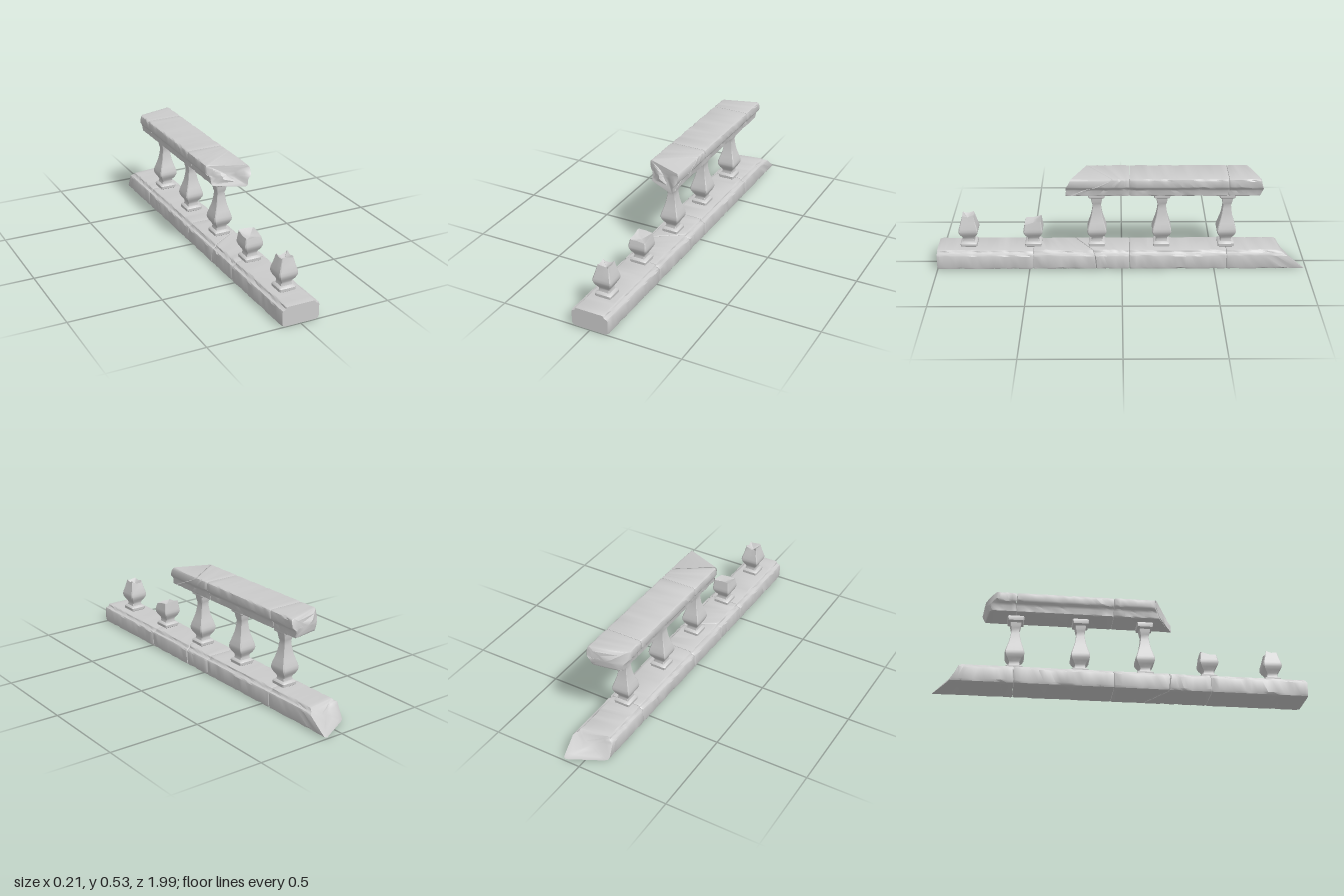
import * as THREE from 'three';
import { toCreasedNormals } from 'three/addons/utils/BufferGeometryUtils.js';

const stone = new THREE.MeshStandardMaterial({ color: 0xcccccc, side: THREE.DoubleSide });

// Repeatable noise in -1..1
const noise = (a, b = 0, c = 0) => {
  const v = Math.sin(a * 127.1 + b * 311.7 + c * 74.7) * 43758.5453;
  return 2 * (v - Math.floor(v)) - 1;
};

// Skin a list of equal closed rings, each counter-clockwise about the travel axis
function loft(rings, crease) {
  const n = rings[0].length, index = [];
  for (let i = 0; i < rings.length - 1; i++) {
    for (let j = 0; j < n; j++) {
      const a = i * n + j, b = i * n + (j + 1) % n;
      index.push(a, b, b + n, a, b + n, a + n);
    }
  }
  const geo = new THREE.BufferGeometry();
  geo.setAttribute('position', new THREE.Float32BufferAttribute(rings.flat(2), 3));
  geo.setIndex(index);
  return toCreasedNormals(geo, crease);
}

function add(parent, name, geo) {
  const mesh = new THREE.Mesh(geo, stone);
  mesh.name = name;
  parent.add(mesh);
  return mesh;
}

// Half profiles from the bottom up, mirrored into a closed outline
const mirror = half => [...half, ...half.slice().reverse().map(([x, y]) => [-x, y])];
const baseProfile = mirror([[0.085, 0.003], [0.1, 0.008], [0.105, 0.02], [0.105, 0.084], [0.101, 0.092],
  [0.089, 0.095], [0.084, 0.1], [0.081, 0.108], [0.074, 0.111]]);
const railProfile = mirror([[0.073, 0.428], [0.081, 0.432], [0.083, 0.44], [0.084, 0.462], [0.09, 0.474],
  [0.1, 0.482], [0.105, 0.492], [0.105, 0.522], [0.102, 0.531], [0.094, 0.535]]);

// Worn stone block along z; its ends are functions z(x, y) and may be dished
function block(parent, name, profile, back, front, { seed = 1, bevel = [0.008, 0.008], dish = [0, 0] } = {}) {
  const cy = (profile[0][1] + profile[profile.length / 2][1]) / 2;
  const ring = (s, zAt, wear) => profile.map(([px, py], j) => {
    const x = px * s, y = cy + (py - cy) * s;
    const k = wear * Math.max(0, noise(seed, wear ? zAt(0, cy) * 9 : 0, j));
    return [x * (1 - k), y + (cy - y) * k, zAt(x, y)];
  });
  const rings = [];
  for (const s of [0, 0.35, 0.7, 0.96]) rings.push(ring(s, (x, y) => back(x, y) + dish[0] * (1 - s * s), 0));
  const steps = Math.max(2, Math.round((front(0, cy) - back(0, cy)) / 0.03));
  for (let i = 0; i <= steps; i++) {
    const t = i / steps;
    rings.push(ring(1, (x, y) => {
      const a = back(x, y), b = front(x, y), m = (b - a) / 2;
      return THREE.MathUtils.lerp(a + Math.min(bevel[0], m), b - Math.min(bevel[1], m), t);
    }, 0.035));
  }
  for (const s of [0.96, 0.7, 0.35, 0]) rings.push(ring(s, (x, y) => front(x, y) - dish[1] * (1 - s * s), 0));
  return add(parent, name, loft(rings, 0.65));
}

// Square baluster profile: [height, half width]
const turned = [[0.111, 0.038], [0.115, 0.044], [0.13, 0.045], [0.136, 0.04], [0.14, 0.031], [0.153, 0.028],
  [0.163, 0.031], [0.18, 0.043], [0.195, 0.05], [0.205, 0.052], [0.22, 0.05], [0.25, 0.041], [0.28, 0.032],
  [0.305, 0.027], [0.33, 0.0235], [0.352, 0.0215], [0.362, 0.025], [0.378, 0.028], [0.392, 0.03],
  [0.4, 0.042], [0.418, 0.045], [0.426, 0.042]];

function squareRing(half, yAt) {
  const c = 0.9;
  return [[1, c], [1, 0], [1, -c], [c, -1], [0, -1], [-c, -1], [-1, -c], [-1, 0], [-1, c], [-c, 1], [0, 1], [c, 1]]
    .map(([x, z], j) => [x * half, yAt(x, z, j), z * half]);
}

// Whole baluster, or a stump when a break height function is given
function baluster(parent, name, z, breakAt, breakY, topHalf) {
  const kept = breakAt ? turned.filter(([y]) => y < breakY - 0.03) : turned;
  const rings = kept.map(([y, h]) => squareRing(h, () => y));
  rings.unshift(squareRing(0, () => turned[0][0]));
  if (breakAt) {
    rings.push(squareRing(topHalf, breakAt));
    rings.push(squareRing(topHalf * 0.55, (x, zz, j) => breakAt(x, zz, j) * 0.5 + (breakY - 0.02) * 0.5));
    rings.push(squareRing(0, () => breakY - 0.02));
  } else {
    rings.push(squareRing(0, () => 0.427));
  }
  add(parent, name, loft(rings, 0.6)).position.z = z;
}

export function createModel() {
  const root = new THREE.Group();
  root.name = 'brokenBalustrade';
  const [base, rail, posts] = ['basePlinth', 'handrail', 'balusters'].map(name => {
    const g = new THREE.Group();
    g.name = name;
    root.add(g);
    return g;
  });
  const at = z => () => z;

  // Plinth stones, one cracked across and the last snapped off on a slope
  const baseCrack = (x, y) => 0.2 - 0.55 * x + 0.008 * Math.sin(x * 60) + 0.1 * (y - 0.06);
  const baseBreak = (x, y) => -0.95 - 0.45 * x + (y / 0.11) * (0.1 + 0.3 * x)
    + 0.006 * Math.sin(x * 55 + y * 40);
  block(base, 'baseStoneFront', baseProfile, at(0.481), at(1), { seed: 1, bevel: [0.008, 0.014] });
  block(base, 'baseStoneCrackedFront', baseProfile, (x, y) => baseCrack(x, y) + 0.001, at(0.479),
    { seed: 2, bevel: [0.003, 0.008] });
  block(base, 'baseStoneCrackedBack', baseProfile, at(-0.039), (x, y) => baseCrack(x, y) - 0.001,
    { seed: 3, bevel: [0.008, 0.003] });
  block(base, 'baseStoneMiddle', baseProfile, at(-0.564), at(-0.041), { seed: 4 });
  block(base, 'baseStoneBroken', baseProfile, baseBreak, at(-0.566), { seed: 5, bevel: [0.002, 0.008], dish: [0.008, 0] });

  // Handrail stones with broken ends and a loose corner at the front
  const railFront = (x, y) => 0.23 + 0.45 * x + 0.3 * (0.535 - y) * (1 + 3 * x) + 0.005 * Math.sin(x * 50 + y * 60);
  const railCrack = (x, y) => Math.min(0.12 - 0.7 * x + 2 * (0.535 - y), railFront(x, y) - 0.004);
  const railBreak = (x, y) => -0.735 + (x < 0 ? 6.5 * x * x : 0) - 0.01 * Math.sin((y - 0.43) * 30)
    + 0.004 * Math.sin(x * 70 + y * 50);
  block(rail, 'railChippedCorner', railProfile, railCrack, railFront,
    { seed: 6, bevel: [0.003, 0.002], dish: [0, 0.014] });
  block(rail, 'railStoneFront', railProfile, at(-0.039), (x, y) => railCrack(x, y) - 0.002,
    { seed: 7, bevel: [0.008, 0.003], dish: [0, 0.014] });
  block(rail, 'railStoneMiddle', railProfile, at(-0.564), at(-0.041), { seed: 8 });
  block(rail, 'railStoneBack', railProfile, railBreak, at(-0.566), { seed: 9, bevel: [0.003, 0.008], dish: [0.012, 0] });

  // Three whole balusters and two stumps
  [0.135, -0.215, -0.565].forEach((z, i) => baluster(posts, 'baluster' + (i + 1), z));
  baluster(posts, 'tallStump', 0.83, (x, z, j) => 0.29 + 0.014 * noise(j, 3), 0.285, 0.031);
  baluster(posts, 'shortStump', 0.48, (x, z, j) => 0.254 - 0.008 * z + 0.004 * noise(j, 7), 0.258, 0.044);
  return root;
}
